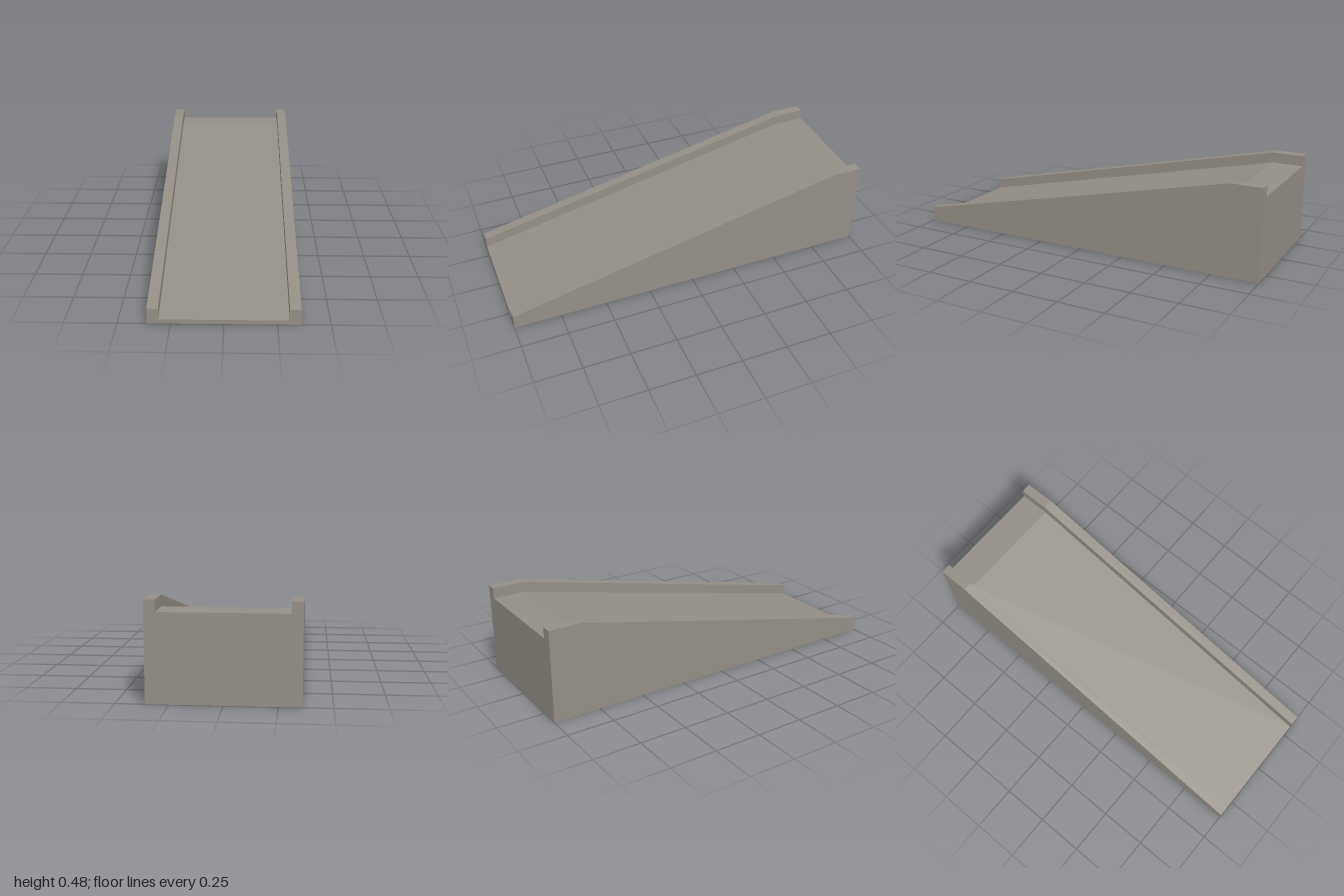
import * as THREE from 'three';

const OUTER = 0.36, INNER = 0.306;   // half widths outside and between the kerbs
const FLOOR = 0.022, KERB = 0.078;   // heights at the low front end
const RISE = 0.406;                  // climb from front to landing
const STATIONS = [-1, -0.833, 1];    // back edge, top of slope, front edge

export function createModel() {
  const concrete = new THREE.MeshStandardMaterial({ color: 0x938e85 });
  concrete.name = 'concrete grey';

  // U-shaped cross-section: floor between two kerbs
  const section = new THREE.Shape([
    [-OUTER, 0], [OUTER, 0], [OUTER, KERB], [INNER, KERB],
    [INNER, FLOOR], [-INNER, FLOOR], [-INNER, KERB], [-OUTER, KERB],
  ].map(([x, y]) => new THREE.Vector2(x, y)));

  // Sweep it through three stations, lifting everything above the base
  const geometry = new THREE.ExtrudeGeometry(section, { depth: 2, steps: 2, bevelEnabled: false });
  const p = geometry.attributes.position;
  for (let i = 0; i < p.count; i++) {
    const station = Math.round(p.getZ(i));
    if (p.getY(i) > 0.001 && station < 2) p.setY(i, p.getY(i) + RISE);
    p.setZ(i, STATIONS[station]);
  }
  geometry.clearGroups();
  geometry.computeVertexNormals();

  const ramp = new THREE.Mesh(geometry, concrete);
  ramp.name = 'rampWithKerbs';
  const group = new THREE.Group();
  group.name = 'ramp';
  group.add(ramp);
  return group;
}
